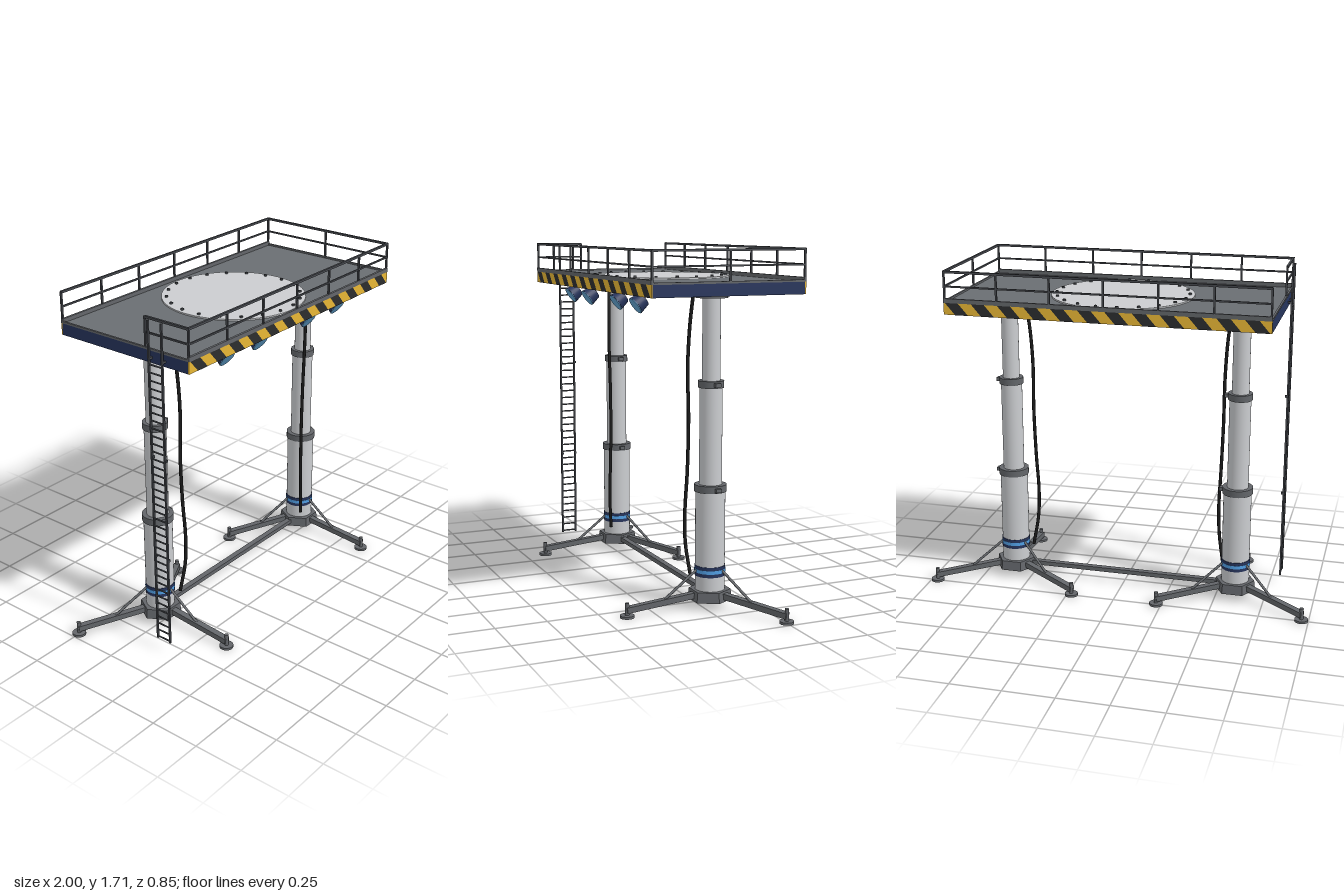
import * as THREE from 'three';

const mat = (name, color) => {
  const m = new THREE.MeshStandardMaterial({ color });
  m.name = name;
  return m;
};

export function createModel() {
  const root = new THREE.Group();
  root.name = 'raisedPlatform';
  const M = {
    column: mat('lightGrey', 0xcbcdd0),
    steel: mat('darkSteel', 0x63666a),
    deck: mat('deckGrey', 0x6a6e72),
    rail: mat('railGrey', 0x46494e),
    navy: mat('navy', 0x27355d),
    blue: mat('bandBlue', 0x55a6ee),
    lens: mat('lensBlue', 0x64a6d4),
    yellow: mat('hazardYellow', 0xecba36),
    black: mat('black', 0x2c2d2e),
    hose: mat('hoseBlack', 0x1a1a1a),
  };
  const V = (x, y, z) => new THREE.Vector3(x, y, z);
  const UP = V(0, 1, 0);
  const add = (parent, name, geo, material, x = 0, y = 0, z = 0) => {
    const m = new THREE.Mesh(geo, material);
    m.name = name;
    m.position.set(x, y, z);
    parent.add(m);
    return m;
  };
  const box = (p, name, material, w, h, d, x, y, z) =>
    add(p, name, new THREE.BoxGeometry(w, h, d), material, x, y, z);
  // Upright cylinder between two heights
  const cyl = (p, name, material, r, y0, y1, x = 0, z = 0, seg = 32) =>
    add(p, name, new THREE.CylinderGeometry(r, r, y1 - y0, seg), material, x, (y0 + y1) / 2, z);
  // Bar or rod between two points of its parent
  const span = (p, name, material, geo, a, b) => {
    const m = add(p, name, geo, material);
    m.position.copy(a).add(b).multiplyScalar(0.5);
    m.quaternion.setFromRotationMatrix(new THREE.Matrix4().lookAt(b, a, UP));
  };
  const bar = (p, name, material, a, b, w, h = w) =>
    span(p, name, material, new THREE.BoxGeometry(w, h, a.distanceTo(b)), a, b);
  const rod = (p, name, material, a, b, r) =>
    span(p, name, material, new THREE.CylinderGeometry(r, r, a.distanceTo(b), 10).rotateX(Math.PI / 2), a, b);

  const CZ = -0.036, HX = 0.788, HZ = 0.387, COLX = 0.595;
  const FRONT = CZ + HZ, BACK = CZ - HZ;

  // Telescopic columns on three-legged bases
  for (const s of [-1, 1]) {
    const col = new THREE.Group();
    col.name = s > 0 ? 'leftColumn' : 'rightColumn';
    col.position.set(s * COLX, 0, CZ);
    root.add(col);
    const hubGeo = new THREE.CylinderGeometry(0.1, 0.106, 0.05, 6).toNonIndexed();
    hubGeo.computeVertexNormals();
    add(col, 'hub', hubGeo, M.steel, 0, 0.066, 0).rotation.y = Math.PI / 6;
    cyl(col, 'lowerStage', M.column, 0.071, 0.085, 0.575);
    cyl(col, 'middleStage', M.column, 0.054, 0.57, 1.07);
    cyl(col, 'upperStage', M.column, 0.043, 1.06, 1.485);
    cyl(col, 'navyBand', M.navy, 0.0735, 0.16, 0.21);
    cyl(col, 'blueBand', M.blue, 0.0745, 0.177, 0.194);
    cyl(col, 'lowerCollar', M.steel, 0.077, 0.567, 0.601);
    cyl(col, 'upperCollar', M.steel, 0.061, 1.06, 1.093);
    box(col, 'lowerLug', M.steel, 0.024, 0.018, 0.028, 0.08, 0.583, 0);
    box(col, 'upperLug', M.steel, 0.024, 0.018, 0.028, 0.065, 1.077, 0);
    cyl(col, 'headFlange', M.steel, 0.076, 1.477, 1.5);

    for (let i = 0; i < 3; i++) {
      const leg = new THREE.Group();
      leg.name = 'outrigger';
      leg.rotation.y = (i * 2 * Math.PI) / 3;
      col.add(leg);
      bar(leg, 'legArm', M.steel, V(0, 0.068, 0.07), V(0, 0.036, 0.43), 0.032, 0.028);
      cyl(leg, 'footPad', M.steel, 0.034, 0, 0.012, 0, 0.427, 20);
      cyl(leg, 'footScrew', M.steel, 0.01, 0.01, 0.07, 0, 0.427, 12);
      rod(leg, 'strut', M.steel, V(0, 0.192, 0.066), V(0, 0.06, 0.24), 0.0065);
    }

    // Hanging hose
    const pts = [[0.535, 1.49, 0.03], [0.515, 1.35, 0.037], [0.503, 1.15, 0.042], [0.502, 0.9, 0.036],
      [0.495, 0.65, 0.038], [0.487, 0.45, 0.046], [0.493, 0.3, 0.046], [0.518, 0.14, 0.03]];
    const path = new THREE.CatmullRomCurve3(pts.map(([x, y, z]) => V(s * x, y, z)));
    add(root, 'hose', new THREE.TubeGeometry(path, 60, 0.0085, 10), M.hose);
  }
  box(root, 'tieBar', M.steel, 2 * COLX - 0.16, 0.022, 0.03, 0, 0.067, CZ);

  // Deck plate, edge beams, painted skirts and toe boards
  box(root, 'deckPlate', M.deck, 2 * HX - 0.012, 0.02, 2 * HZ - 0.012, 0, 1.542, CZ);
  for (const s of [-1, 1]) {
    box(root, 'edgeBeam', M.column, 2 * HX - 0.012, 0.052, 0.028, 0, 1.521, CZ + s * (HZ - 0.02));
    box(root, 'endBeam', M.column, 0.028, 0.052, 2 * HZ - 0.066, s * (HX - 0.02), 1.521, CZ);
    box(root, 'sideSkirt', M.navy, 0.006, 0.057, 2 * HZ - 0.012, s * (HX - 0.003), 1.5225, CZ);
    const skirt = new THREE.Group();
    skirt.name = s > 0 ? 'frontSkirt' : 'backSkirt';
    skirt.position.set(0, 1.5225, CZ + s * (HZ - 0.003));
    skirt.rotation.y = s > 0 ? 0 : Math.PI;
    root.add(skirt);
    box(skirt, 'hazardBoard', M.yellow, 2 * HX, 0.057, 0.006, 0, 0, 0);
    const pitch = (2 * HX) / 12;
    const shape = new THREE.Shape([
      new THREE.Vector2(0.05, -0.0285), new THREE.Vector2(0.05 + pitch / 2, -0.0285),
      new THREE.Vector2(pitch / 2, 0.0285), new THREE.Vector2(0, 0.0285)]);
    const stripe = new THREE.ShapeGeometry(shape);
    for (let i = 0; i < 12; i++) add(skirt, 'hazardStripe', stripe, M.black, -HX + i * pitch + 0.008, 0, 0.004);
    box(root, 'toeBoard', M.steel, 2 * HX, 0.021, 0.012, 0, 1.5615, CZ + s * (HZ - 0.005));
    box(root, 'sideToeBoard', M.steel, 0.01, 0.01, 2 * HZ - 0.02, s * (HX - 0.004), 1.556, CZ);
  }

  // Beams under the deck
  box(root, 'spineBeam', M.column, 2 * HX - 0.03, 0.035, 0.034, 0, 1.515, CZ);
  for (let i = -2; i <= 2; i++)
    box(root, 'crossBeam', M.column, 0.032, 0.032, 2 * HZ - 0.04, i * 0.262, 1.516, CZ);

  // Round hatch with a ring of bolts
  cyl(root, 'roundPlate', M.column, 0.353, 1.55, 1.559, 0, CZ, 64);
  for (let i = 0; i < 20; i++) {
    const a = ((i + 0.5) * Math.PI) / 10;
    cyl(root, 'bolt', M.rail, 0.008, 1.557, 1.567, 0.328 * Math.cos(a), CZ + 0.328 * Math.sin(a), 8);
  }

  // Guard rails; the right side is open behind the ladder
  const railRun = (name, a, b, posts) => {
    const g = new THREE.Group();
    g.name = name;
    root.add(g);
    for (const [y, w] of [[1.63, 0.008], [1.7, 0.011]])
      bar(g, 'railBar', M.rail, a.clone().setY(y), b.clone().setY(y), w);
    for (let i = 0; i < posts; i++) {
      const p = a.clone().lerp(b, i / (posts - 1));
      box(g, 'railPost', M.rail, 0.009, 0.15, 0.009, p.x, 1.628, p.z);
    }
  };
  const rx = HX - 0.005, zf = FRONT - 0.005, zb = BACK + 0.005;
  railRun('frontRail', V(-rx, 0, zf), V(rx, 0, zf), 7);
  railRun('backRail', V(-rx, 0, zb), V(rx, 0, zb), 7);
  railRun('leftRail', V(rx, 0, zb), V(rx, 0, zf), 3);
  railRun('rightRail', V(-rx, 0, 0.098), V(-rx, 0, zf), 2);

  // Ladder
  const ladder = new THREE.Group();
  ladder.name = 'ladder';
  root.add(ladder);
  const LX = -0.807;
  for (const z of [0.136, 0.214]) {
    box(ladder, 'ladderRail', M.rail, 0.009, 1.64, 0.009, LX, 0.88, z);
    for (const y of [0.52, 1.04]) box(ladder, 'railJoint', M.rail, 0.014, 0.012, 0.012, LX + 0.006, y, z);
    box(ladder, 'ladderBracket', M.rail, 0.03, 0.01, 0.01, LX + 0.012, 1.52, z);
  }
  for (let i = 0; i < 38; i++)
    rod(ladder, 'rung', M.rail, V(LX, 0.07 + i * 0.0385, 0.136), V(LX, 0.07 + i * 0.0385, 0.214), 0.004);

  // Floodlights tilted down towards the front
  for (const x of [-0.443, -0.197, 0.193, 0.44]) {
    const lamp = new THREE.Group();
    lamp.name = 'floodlight';
    lamp.position.set(x, 1.439, 0.28);
    lamp.rotation.x = 0.62;
    root.add(lamp);
    const body = new THREE.CylinderGeometry(0.044, 0.034, 0.05, 24).rotateX(Math.PI / 2);
    add(lamp, 'lampBody', body, M.navy, 0, 0, -0.025);
    add(lamp, 'lampLens', new THREE.CylinderGeometry(0.0425, 0.0425, 0.004, 24).rotateX(Math.PI / 2), M.lens, 0, 0, 0.001);
    box(root, 'lampHanger', M.rail, 0.02, 0.04, 0.012, x, 1.486, 0.245);
  }
  return root;
}
